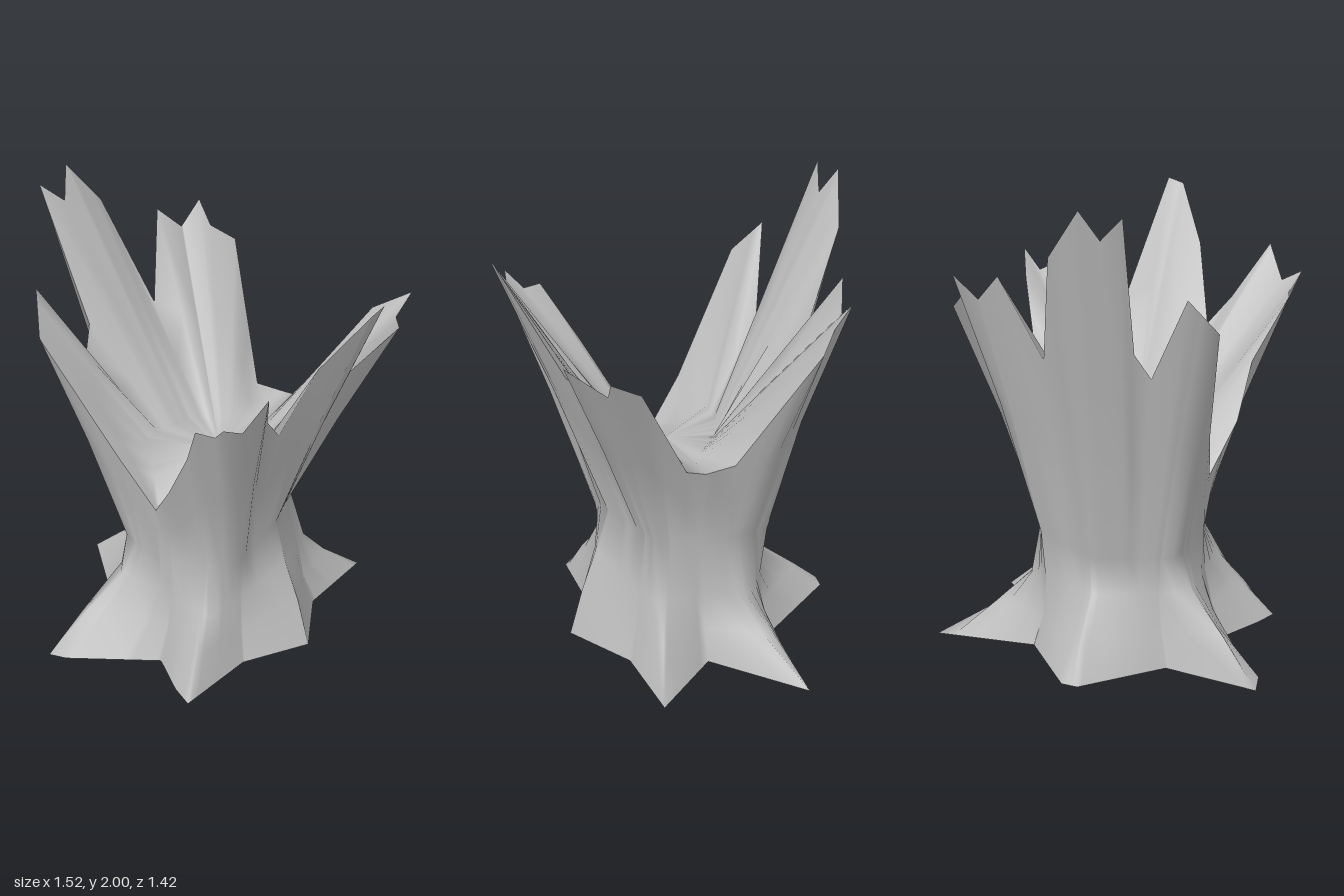
import * as THREE from 'three';

const V = (x, y, z) => new THREE.Vector3(x, y, z);
const TAU = Math.PI * 2;
const angle = (p) => (Math.atan2(p.z, p.x) + TAU) % TAU;
const loop = (pts) => pts.map((p) => V(...p)).sort((a, b) => angle(a) - angle(b));

// splintered top edge
const rim = loop([
  [0.76, 1.85, 0.0], [0.75, 1.83, 0.07], [0.6, 1.6, 0.19], [0.47, 1.28, 0.26],
  [0.49, 1.4, 0.36], [0.6, 1.62, 0.5], [0.53, 1.48, 0.57], [0.51, 1.53, 0.66],
  [0.44, 1.45, 0.62], [0.36, 1.45, 0.64], [0.22, 1.2, 0.52], [0.1, 0.97, 0.49],
  [-0.04, 0.77, 0.41], [-0.2, 0.99, 0.45], [-0.5, 1.5, 0.56], [-0.6, 1.65, 0.46],
  [-0.5, 1.3, 0.29], [-0.53, 1.4, 0.23], [-0.75, 1.98, 0.25], [-0.71, 1.88, 0.15],
  [-0.76, 2.0, 0.08], [-0.7, 1.8, -0.06], [-0.5, 1.34, -0.15], [-0.6, 1.69, -0.3],
  [-0.55, 1.58, -0.4], [-0.54, 1.67, -0.51], [-0.47, 1.57, -0.5], [-0.39, 1.5, -0.57],
  [-0.11, 0.97, -0.37], [0.03, 0.97, -0.39], [0.11, 0.99, -0.38], [0.36, 1.45, -0.53],
  [0.51, 1.55, -0.59], [0.49, 1.46, -0.51], [0.61, 1.53, -0.35], [0.47, 1.33, -0.17],
  [0.52, 1.37, -0.12],
]);

// narrowest part of the trunk
const waist = loop([
  [0.31, 0.65, 0.06], [0.27, 0.54, 0.27], [-0.03, 0.5, 0.39], [-0.28, 0.48, 0.33],
  [-0.39, 0.48, 0.02], [-0.33, 0.55, -0.23], [-0.05, 0.6, -0.32], [0.18, 0.6, -0.24],
]);

// where the roots leave the trunk
const ankles = loop([
  [0.36, 0.46, 0.05], [0.26, 0.35, 0.24], [0.23, 0.33, 0.4], [0.0, 0.33, 0.38],
  [-0.29, 0.34, 0.4], [-0.31, 0.33, 0.27], [-0.4, 0.33, 0.02], [-0.3, 0.33, -0.22],
  [-0.21, 0.32, -0.32], [0.0, 0.34, -0.3], [0.2, 0.34, -0.31], [0.25, 0.36, -0.2],
]);

// upper ridges of the roots, with the valleys between them
const knees = loop([
  [0.42, 0.28, 0.03], [0.28, 0.18, 0.24], [0.25, 0.2, 0.5], [0.01, 0.18, 0.41],
  [-0.34, 0.19, 0.55], [-0.33, 0.18, 0.29], [-0.58, 0.18, 0.02], [-0.31, 0.18, -0.23],
  [-0.25, 0.19, -0.46], [0.0, 0.18, -0.32], [0.23, 0.2, -0.42], [0.27, 0.18, -0.22],
]);

// root tips and valleys on the ground
const base = loop([
  [0.48, 0.07, 0.03], [0.31, 0.04, 0.27], [0.29, 0.04, 0.62], [0.19, 0.04, 0.58],
  [0.02, 0.03, 0.47], [-0.32, 0.02, 0.7], [-0.41, 0.0, 0.71], [-0.37, 0.03, 0.32],
  [-0.71, 0.06, 0.05], [-0.7, 0.06, -0.02], [-0.35, 0.05, -0.26], [-0.31, 0.03, -0.71],
  [0.0, 0.04, -0.36], [0.3, 0.04, -0.6], [0.31, 0.05, -0.24],
]);

// edge of the broken heartwood between the splinters
const floor = loop([
  [0.28, 1.0, 0.0], [-0.05, 0.78, 0.38], [-0.24, 0.94, 0.22], [-0.2, 0.95, 0.0], [0.0, 0.93, -0.2],
]);

// point of a loop in a given direction
function sample(pts, a) {
  const n = pts.length;
  for (let i = 0; i < n; i++) {
    const p = pts[i], q = pts[(i + 1) % n];
    const span = (angle(q) - angle(p) + TAU) % TAU;
    const d = (a - angle(p) + TAU) % TAU;
    if (d <= span) return p.clone().lerp(q, d / span);
  }
  return pts[0].clone();
}

// smooth skin over rows of points running from the underside, up, and over the rim
function skin(rows) {
  const n = rows[0].length, pos = [], idx = [];
  rows.forEach((r) => r.forEach((p) => pos.push(p.x, p.y, p.z)));
  for (let i = 0; i < rows.length - 1; i++) {
    for (let j = 0; j < n; j++) {
      const a = i * n + j, b = i * n + ((j + 1) % n), c = b + n, d = a + n;
      idx.push(a, d, c, a, c, b);
    }
  }
  const g = new THREE.BufferGeometry();
  g.setAttribute('position', new THREE.Float32BufferAttribute(pos, 3));
  g.setIndex(idx);
  g.computeVertexNormals();
  return g;
}

export function createModel() {
  const group = new THREE.Group();
  group.name = 'brokenTreeStump';
  const wood = new THREE.MeshStandardMaterial({ color: 0xbcbcbc });
  wood.name = 'grey wood';

  // one column for every corner of the rim, the roots and the heartwood
  const angles = [...rim, ...base, ...knees, ...floor].map(angle).sort((a, b) => a - b)
    .filter((a, i, all) => i === 0 || a - all[i - 1] > 1e-4);
  const ring = (pts) => angles.map((a) => sample(pts, a));
  const point = (x, y, z) => angles.map(() => V(x, y, z));
  const mix = (r, s, t, squeeze = 1) => r.map((p, i) => {
    const m = p.clone().lerp(s[i], t);
    m.x *= squeeze;
    m.z *= squeeze;
    return m;
  });

  const top = ring(rim), mid = ring(waist), foot = ring(base), pit = ring(floor);
  const add = (name, rows) => {
    const mesh = new THREE.Mesh(skin(rows), wood);
    mesh.name = name;
    group.add(mesh);
  };

  add('underside', [point(-0.04, 0.03, 0), foot]);
  add('trunkAndRoots', [foot, ring(knees), ring(ankles), mid, mix(mid, top, 0.5, 0.98), top]);
  add('hollow', [top, mix(top, pit, 0.5), pit, point(0.02, 0.92, 0.06)]);
  return group;
}
